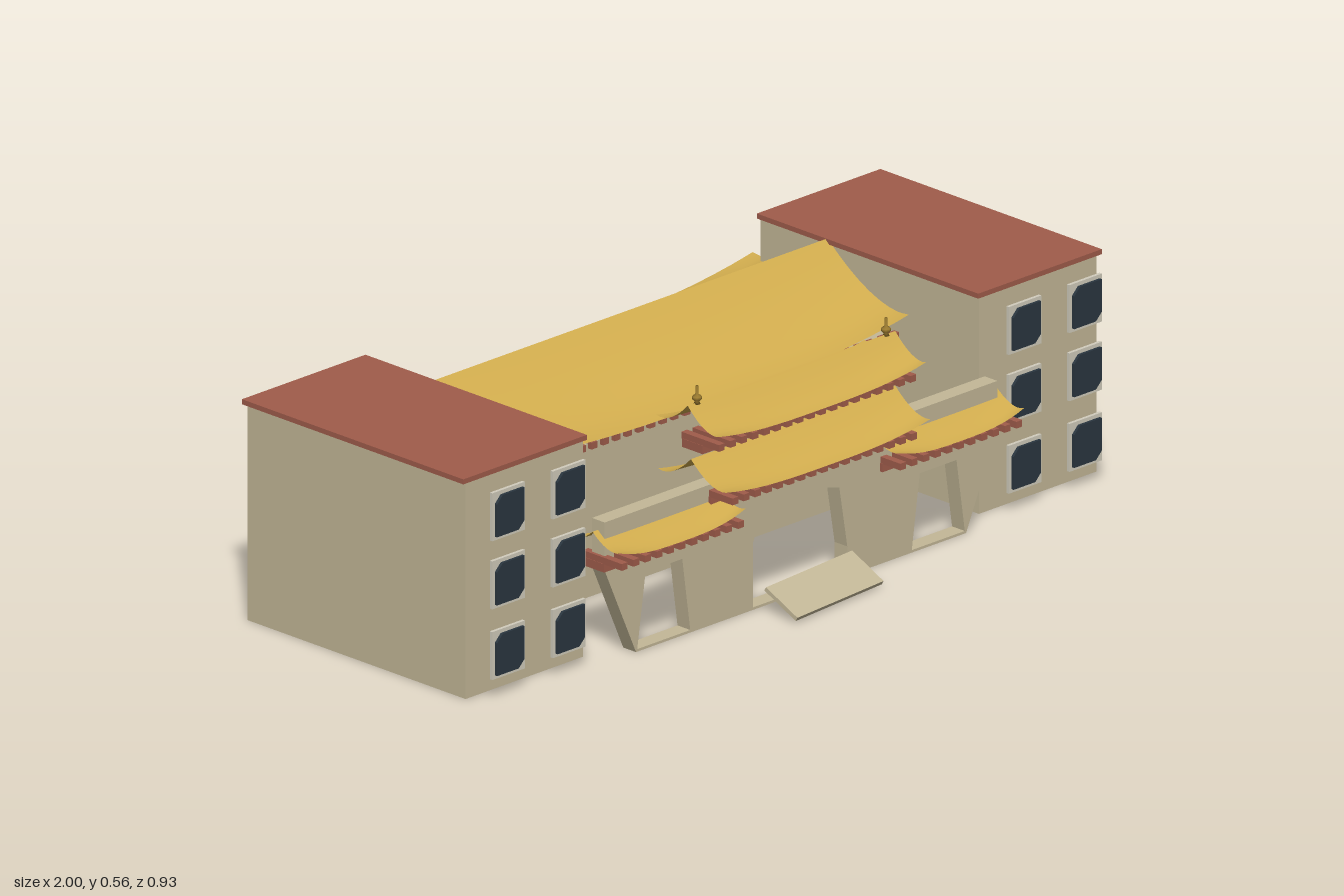
import * as THREE from 'three';

const mat = (color, side = THREE.FrontSide) => new THREE.MeshStandardMaterial({ color, side });
const stone = mat(0xc4b898), red = mat(0xa05c4b), frameMat = mat(0xd2cdbd), glassMat = mat(0x2a3640);
const gold = mat(0xd2ad4e, THREE.DoubleSide), brass = mat(0x9c7c30);

function add(parent, name, geometry, material, x = 0, y = 0, z = 0) {
  const m = new THREE.Mesh(geometry, material);
  m.name = name;
  m.position.set(x, y, z);
  parent.add(m);
  return m;
}

// Box given by its extents
function block(parent, name, material, x0, x1, y0, y1, z0, z1) {
  return add(parent, name, new THREE.BoxGeometry(x1 - x0, y1 - y0, z1 - z0), material,
    (x0 + x1) / 2, (y0 + y1) / 2, (z0 + z1) / 2);
}

const shapeOf = pts => new THREE.Shape(pts.map(p => new THREE.Vector2(...p)));

// One concave roof slope whose eave sweeps up at both ends
function slope(x0, x1, ridgeY, ridgeZ, eaveY, eaveZ, lift) {
  const nx = 20, nv = 8, geo = new THREE.PlaneGeometry(1, 1, nx, nv), p = geo.attributes.position;
  const dir = Math.sign(eaveZ - ridgeZ);
  for (let i = 0; i < p.count; i++) {
    const u = p.getX(i) * 2, t = 0.5 - p.getY(i);
    const y = eaveY + (ridgeY - eaveY) * Math.pow(1 - t, 1.5) + lift * Math.pow(Math.abs(u), 3) * t * t;
    p.setXYZ(i, (x0 + x1) / 2 + dir * u * (x1 - x0) / 2, y, ridgeZ + (eaveZ - ridgeZ) * t);
  }
  geo.computeVertexNormals();
  return geo;
}

function roof(parent, name, x0, x1, ridgeY, ridgeZ, eaveY, frontZ, backZ, lift) {
  const g = new THREE.Group();
  g.name = name;
  parent.add(g);
  add(g, 'frontSlope', slope(x0, x1, ridgeY, ridgeZ, eaveY, frontZ, lift), gold);
  add(g, 'backSlope', slope(x0, x1, ridgeY, ridgeZ, eaveY, backZ, lift), gold);
  return g;
}

// Row of small rafter ends
function rafters(parent, x0, x1, y, z0, z1, h = 0.016) {
  const n = Math.round((x1 - x0) / 0.036);
  for (let i = 0; i <= n; i++) {
    const x = x0 + (x1 - x0) * i / n;
    block(parent, 'rafter', red, x - 0.009, x + 0.009, y - h / 2, y + h / 2, z0, z1);
  }
}

// Beam and rafters below a gate roof
function eaveFrame(parent, x0, x1, y, frontZ) {
  const g = new THREE.Group();
  g.name = 'eaveFrame';
  parent.add(g);
  block(g, 'beam', red, x0, x1, y, y + 0.02, 0.275, 0.34);
  rafters(g, x0 + 0.01, x1 - 0.01, y + 0.027, 0.272, frontZ);
}

function windowUnit(parent, x, y) {
  const g = new THREE.Group();
  g.name = 'window';
  g.position.set(x, y, 0.313);
  parent.add(g);
  const w = 0.051, h = 0.057, a = 0.043, b = 0.048, c = 0.018;
  block(g, 'windowFrame', frameMat, -w, w, -h, h, 0, 0.008);
  const pane = shapeOf([[-a, -b], [a - c, -b], [a, -b + c], [a, b], [-a + c, b], [-a, b - c]]);
  add(g, 'windowGlass', new THREE.ExtrudeGeometry(pane, { depth: 0.007, bevelEnabled: false }), glassMat, 0, 0, 0.008);
}

export function createModel() {
  const model = new THREE.Group();
  model.name = 'gatedHall';

  // Side wings with flat caps and windows standing before them
  for (const s of [-1, 1]) {
    const wing = new THREE.Group();
    wing.name = s > 0 ? 'leftWing' : 'rightWing';
    model.add(wing);
    const span = (a, b) => s > 0 ? [a, b] : [-b, -a];
    block(wing, 'wingWalls', stone, ...span(0.62, 0.988), 0, 0.515, -0.415, 0.27);
    block(wing, 'wingCap', red, ...span(0.613, 1), 0.515, 0.527, -0.42, 0.275);
    for (const x of [0.714, 0.904]) for (const y of [0.107, 0.275, 0.437]) windowUnit(wing, s * x, y);
  }

  // Rear hall
  const hall = new THREE.Group();
  hall.name = 'rearHall';
  model.add(hall);
  block(hall, 'hallWalls', stone, -0.612, 0.612, 0, 0.365, -0.425, 0.02);
  roof(hall, 'hallRoof', -0.64, 0.64, 0.525, -0.205, 0.375, 0.05, -0.46, 0.042);
  rafters(hall, -0.6, 0.6, 0.362, -0.436, -0.42);
  rafters(hall, -0.6, 0.6, 0.362, 0.015, 0.031);

  // Gate wall with tapering ends and three openings
  const gate = new THREE.Group();
  gate.name = 'gate';
  model.add(gate);
  const wall = shapeOf([[-0.517, 0], [0.517, 0], [0.615, 0.22], [0.615, 0.335], [-0.615, 0.335], [-0.615, 0.22]]);
  const base = 0.006;
  wall.holes.push(shapeOf([[-0.15, base], [-0.15, 0.16], [-0.125, 0.225], [-0.045, 0.263], [0.12, 0.217],
    [0.145, 0.07], [0.145, base]]));
  for (const s of [-1, 1]) {
    wall.holes.push(shapeOf([[0.347, base], [0.372, 0.182], [0.487, 0.182], [0.513, base]].map(([x, y]) => [s * x, y])));
  }
  add(gate, 'gateWall', new THREE.ExtrudeGeometry(wall, { depth: 0.04, bevelEnabled: false }), stone, 0, 0, 0.293);

  // Gate roofs: two stacked in the middle, one lower on each side
  roof(gate, 'upperRoof', -0.325, 0.325, 0.525, 0.303, 0.455, 0.4, 0.205, 0.022);
  eaveFrame(gate, -0.315, 0.305, 0.417, 0.39);
  roof(gate, 'middleRoof', -0.32, 0.32, 0.398, 0.308, 0.326, 0.418, 0.205, 0.022);
  eaveFrame(gate, -0.29, 0.29, 0.288, 0.408);
  for (const s of [-1, 1]) {
    const [a, b] = s > 0 ? [0.24, 0.632] : [-0.632, -0.24];
    roof(gate, 'sideRoof', a, b, 0.312, 0.312, 0.26, 0.4, 0.228, 0.024);
    eaveFrame(gate, a + 0.008, b, 0.22, 0.395);
  }

  // Ridge finials
  const finial = new THREE.LatheGeometry([[0, 0], [0.008, 0], [0.005, 0.006], [0.011, 0.011], [0.011, 0.018],
    [0.003, 0.024], [0.003, 0.043], [0, 0.043]].map(p => new THREE.Vector2(...p)), 8);
  for (const s of [-1, 1]) add(gate, 'finial', finial, brass, s * 0.296, 0.522, 0.303);

  // Sloping slab in front of the middle opening
  const ramp = block(model, 'ramp', stone, -0.148, 0.148, 0.031, 0.041, 0.353, 0.457);
  ramp.rotation.set(0.5, 0.085, 0, 'YXZ');
  return model;
}
